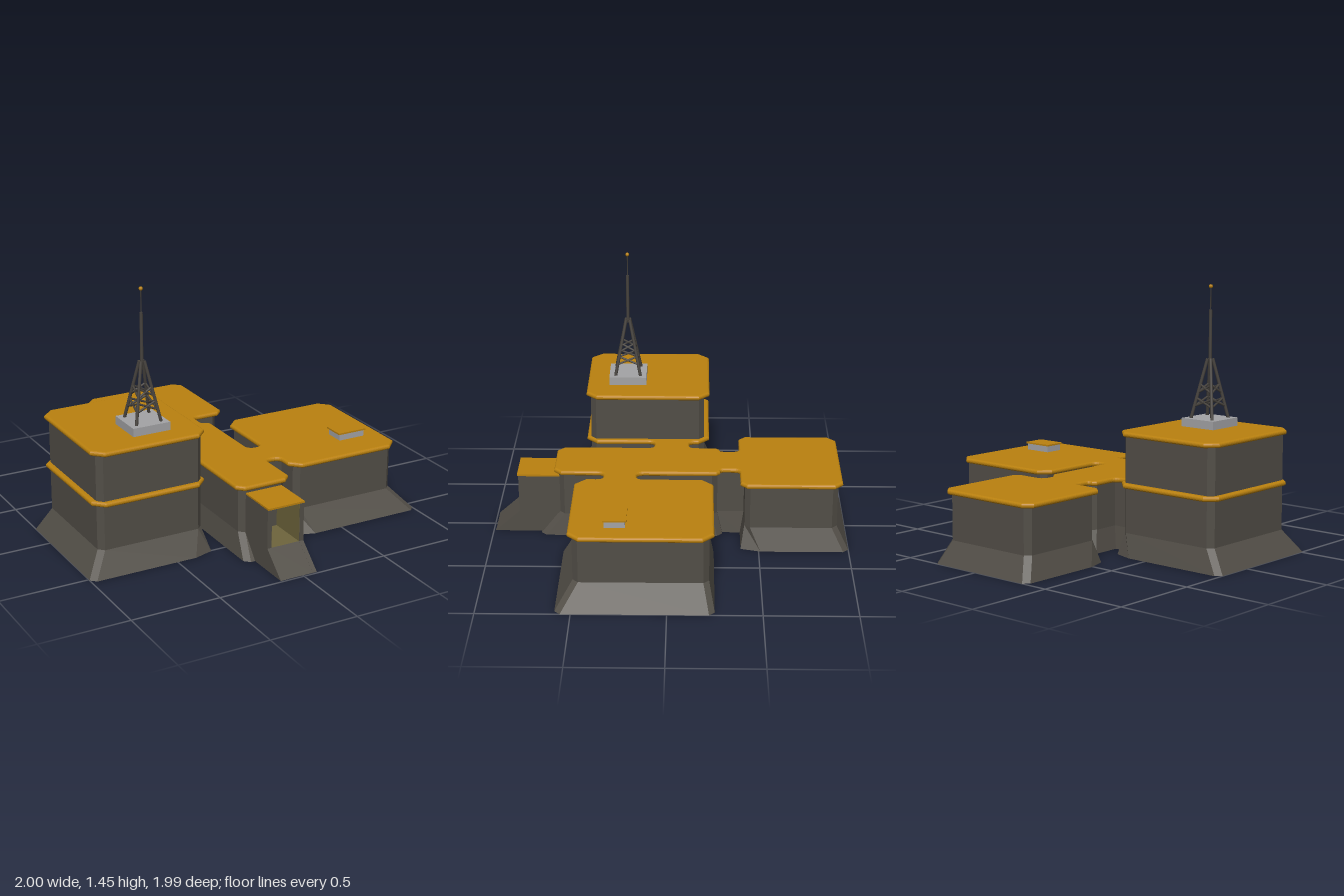
import * as THREE from 'three';

const mat = (name, color, side = THREE.FrontSide) => {
  const m = new THREE.MeshStandardMaterial({ color, side });
  m.name = name;
  return m;
};

// Rectangle with cut corners; cuts are [dx, dz] for back-left, back-right, front-right, front-left
function cutRect(x0, x1, z0, z1, cuts) {
  const [a, b, c, d] = cuts;
  return [
    [x0, z0 + a[1]], [x0 + a[0], z0], [x1 - b[0], z0], [x1, z0 + b[1]],
    [x1, z1 - c[1]], [x1 - c[0], z1], [x0 + d[0], z1], [x0, z1 - d[1]],
  ];
}
const rect = (x0, x1, z0, z1) => [[x0, z0], [x1, z0], [x1, z1], [x0, z1]];
const even = (c) => [[c, c], [c, c], [c, c], [c, c]];

// Flat-sided wall through stacked outlines [points, y]; skipped edges stay open
function loft(sections, skip = []) {
  const pos = [];
  for (let s = 0; s < sections.length - 1; s++) {
    const [lo, y0] = sections[s], [hi, y1] = sections[s + 1];
    lo.forEach((p, i) => {
      if (skip.includes(i)) return;
      const j = (i + 1) % lo.length;
      const a = [lo[i][0], y0, lo[i][1]], b = [lo[j][0], y0, lo[j][1]];
      const c = [hi[j][0], y1, hi[j][1]], d = [hi[i][0], y1, hi[i][1]];
      pos.push(...a, ...d, ...c, ...a, ...c, ...b);
    });
  }
  const g = new THREE.BufferGeometry();
  g.setAttribute('position', new THREE.Float32BufferAttribute(pos, 3));
  g.computeVertexNormals();
  return g;
}

// Outline from corners [x, z, cut]: positive cut is a chamfer, negative is a fillet
function cornered(corners) {
  const s = new THREE.Shape();
  const n = corners.length;
  corners.forEach(([x, z, cut], i) => {
    const toward = (q) => {
      const l = Math.hypot(q[0] - x, q[1] - z), k = Math.abs(cut) / l;
      return [x + (q[0] - x) * k, z + (q[1] - z) * k];
    };
    const a = toward(corners[(i + n - 1) % n]), b = toward(corners[(i + 1) % n]);
    if (i === 0) s.moveTo(...a); else s.lineTo(...a);
    if (cut < 0) s.quadraticCurveTo(x, z, ...b); else s.lineTo(...b);
  });
  s.closePath();
  return s;
}

// Slab with a rounded rim, its top at y
function slab(corners, y) {
  const r = 0.013;
  const g = new THREE.ExtrudeGeometry(cornered(corners), {
    depth: 0.002, bevelEnabled: true, bevelThickness: r, bevelSize: r,
    bevelOffset: -r, bevelSegments: 4, curveSegments: 5,
  });
  return g.rotateX(Math.PI / 2).translate(0, y - r, 0);
}

export function createModel() {
  const root = new THREE.Group();
  const wall = mat('dark wall', 0x524e47, THREE.DoubleSide);
  const roof = mat('ochre roof', 0xba810f);
  const floor = mat('olive floor', 0x6e653c, THREE.DoubleSide);
  const pad = mat('light concrete', 0xa3a3a5);
  const steel = mat('dark steel', 0x47433e);

  const add = (name, geo, material, parent = root) => {
    const m = new THREE.Mesh(geo, material);
    m.name = name;
    parent.add(m);
    return m;
  };
  const box = (name, x0, x1, y0, y1, z0, z1, material, parent) => add(name,
    new THREE.BoxGeometry(x1 - x0, y1 - y0, z1 - z0)
      .translate((x0 + x1) / 2, (y0 + y1) / 2, (z0 + z1) / 2), material, parent);
  const plate = (name, pts, y, material) => add(name,
    new THREE.ShapeGeometry(new THREE.Shape(pts.map((p) => new THREE.Vector2(...p))))
      .rotateX(Math.PI / 2).translate(0, y, 0), material);

  // Blocks: wall outline, spread foot outline, floor
  const SILL = 0.125, EAVE = 0.385;
  const s = [0.03, 0.03], wx = [0.11, 0.035], wz = [0.03, 0.11];
  const blocks = [
    ['mastBlock', [-0.915, -0.305, -0.195, 0.46], [-1, -0.28, -0.235, 0.54], [s, wx, wx, s], 0.665, wall],
    ['hatchBlock', [0.25, 0.885, -0.22, 0.495], [0.22, 1, -0.25, 0.585], [wx, s, s, wx], EAVE, wall],
    ['backBlock', [-0.32, 0.265, -0.935, -0.42], [-0.37, 0.315, -1, -0.4], [s, s, wz, wz], EAVE, floor],
    ['corridor', [-0.165, 0.112, -0.27, 0.62], [-0.19, 0.135, -0.3, 0.725], even(0.03), EAVE, floor],
  ];
  for (const [name, w, f, cuts, top, under] of blocks) {
    const body = cutRect(...w, even(0.03));
    add(name + 'Walls', loft([[cutRect(...f, cuts), 0], [body, SILL], [body, top]]), wall);
    plate(name + 'Floor', body, SILL, under);
  }

  // Short passages between the corridor and the blocks
  const passages = [
    ['leftPassage', [-0.31, -0.16, -0.09, 0.075], [-0.28, -0.185, -0.11, 0.12], [1, 3]],
    ['rightPassage', [0.105, 0.255, 0.2, 0.345], [0.13, 0.225, 0.18, 0.4], [1, 3]],
    ['backPassage', [-0.125, 0.07, -0.425, -0.265], [-0.145, 0.09, -0.405, -0.295], [0, 2]],
  ];
  for (const [name, w, f, open] of passages) {
    const body = rect(...w);
    add(name + 'Walls', loft([[rect(...f), 0], [body, SILL], [body, EAVE]], open), wall);
    plate(name + 'Floor', body, SILL - 0.001, floor);
  }

  // Main roof slab across all wings
  add('mainRoof', slab([
    [-0.345, -0.96, 0.045], [0.29, -0.96, 0.045], [0.29, -0.395, 0.035],
    [0.09, -0.395, -0.035], [0.09, -0.285, -0.02], [0.135, -0.285, 0.02],
    [0.135, 0.18, -0.042], [0.22, 0.18, -0.042],
    [0.22, -0.245, 0.06], [0.912, -0.245, 0.06], [0.912, 0.52, 0.06], [0.22, 0.52, 0.06],
    [0.22, 0.365, -0.038], [0.135, 0.365, -0.038],
    [0.135, 0.645, 0.04], [-0.19, 0.645, 0.04],
    [-0.19, 0.09, -0.038], [-0.28, 0.09, -0.038],
    [-0.28, 0.485, 0.06], [-0.942, 0.485, 0.06], [-0.942, -0.225, 0.06], [-0.28, -0.225, 0.06],
    [-0.28, -0.11, -0.038], [-0.19, -0.11, -0.038],
    [-0.19, -0.285, 0.02], [-0.145, -0.285, -0.02], [-0.145, -0.395, -0.035], [-0.345, -0.395, 0.035],
  ], 0.4), roof);
  add('upperRoof', slab([[-0.942, -0.225, 0.06], [-0.28, -0.225, 0.06],
    [-0.28, 0.485, 0.06], [-0.942, 0.485, 0.06]], 0.68), roof);

  // Entrance porch with side walls and ramp
  const side = new THREE.Shape([[0.61, 0], [0.99, 0], [0.85, SILL], [0.85, 0.345], [0.61, 0.345]]
    .map((p) => new THREE.Vector2(...p)));
  for (const x of [-0.135, 0.06]) {
    const g = new THREE.ExtrudeGeometry(side, { depth: 0.025, bevelEnabled: false });
    add('porchSide', g.rotateY(-Math.PI / 2).translate(x + 0.025, 0, 0), wall);
    const inner = x < 0 ? -0.11 : 0.058;
    box('porchLining', inner, inner + 0.002, SILL, 0.344, 0.62, 0.848, floor);
  }
  add('ramp', loft([[rect(-0.115, 0.065, 0.61, 0.989), 0],
    [rect(-0.115, 0.065, 0.61, 0.849), SILL]], [0, 1, 3]), wall);
  plate('porchFloor', rect(-0.115, 0.065, 0.61, 0.849), SILL, floor);
  box('porchRoof', -0.135, 0.085, 0.344, 0.354, 0.61, 0.857, roof);

  // Roof hatch
  box('hatchBase', 0.64, 0.8, 0.395, 0.437, 0.22, 0.33, pad);
  box('hatchLid', 0.63, 0.807, 0.437, 0.446, 0.212, 0.338, roof);

  // Lattice mast on its pad
  const mast = new THREE.Group();
  mast.name = 'mast';
  mast.position.set(-0.553, 0, 0.25);
  root.add(mast);
  box('mastPad', -0.108, 0.108, 0.675, 0.726, -0.108, 0.108, pad, mast);
  const rod = (name, a, b, r, sides = 8, material = steel) => {
    const p = new THREE.Vector3(...a), q = new THREE.Vector3(...b);
    const m = add(name, new THREE.CylinderGeometry(r, r, p.distanceTo(q), sides), material, mast);
    m.position.copy(p).add(q).multiplyScalar(0.5);
    m.quaternion.setFromUnitVectors(new THREE.Vector3(0, 1, 0), q.sub(p).normalize());
  };
  const spread = (y) => 0.072 - 0.062 * (y - 0.725) / 0.325;
  const corner = (k, y) => {
    const sx = [1, -1, -1, 1][k % 4], sz = [1, 1, -1, -1][k % 4];
    return [sx * spread(y), y, sz * spread(y)];
  };
  for (let k = 0; k < 4; k++) {
    rod('mastLeg', corner(k, 0.72), corner(k, 1.05), 0.009);
    for (const [lo, hi] of [[0.79, 0.835], [0.865, 0.91]]) {
      rod('mastBrace', corner(k, lo), corner(k + 1, hi), 0.006, 6);
      rod('mastBrace', corner(k, hi), corner(k + 1, lo), 0.006, 6);
    }
  }
  rod('mastPole', [0, 1.03, 0], [0, 1.315, 0], 0.009);
  rod('antenna', [0, 1.31, 0], [0, 1.445, 0], 0.003, 6);
  add('beacon', new THREE.SphereGeometry(0.011, 10, 8), roof, mast).position.y = 1.442;
  return root;
}
